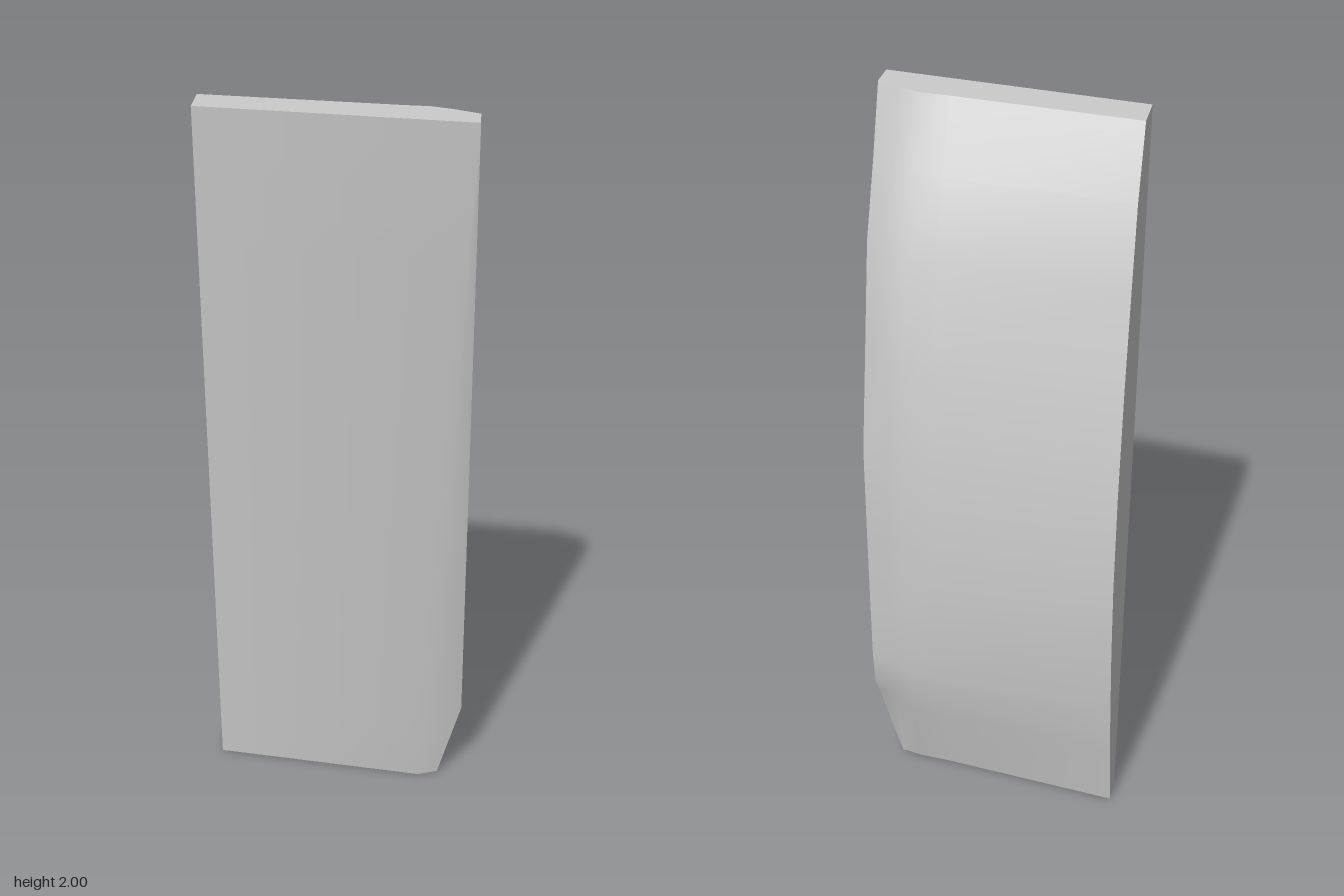
import * as THREE from 'three';
import { toCreasedNormals } from 'three/addons/utils/BufferGeometryUtils.js';

// One row per height: y, then z of the side's rear edge, rear shoulder, rear panel and left rear edge
const levels = [
  [0.00, -0.055, -0.056, -0.073, -0.140],
  [0.22, -0.060, -0.105, -0.135, -0.183],
  [0.28, -0.095, -0.125, -0.150, -0.190],
  [0.38, -0.110, -0.140, -0.165, -0.203],
  [0.58, -0.113, -0.148, -0.183, -0.225],
  [0.80, -0.115, -0.148, -0.187, -0.235],
  [1.07, -0.115, -0.145, -0.180, -0.217],
  [1.36, -0.055, -0.103, -0.138, -0.170],
  [1.63, 0.000, -0.055, -0.080, -0.108],
  [1.82, 0.085, 0.030, 0.000, -0.060],
  [2.00, 0.155, 0.120, 0.090, 0.025],
];

// Horizontal section, counter-clockwise seen from above
function section([y, side, shoulder, panel, left]) {
  const low = Math.max(0, 1 - y / 0.22); // the side tucks in at the foot
  const sideX = 0.35 - 0.065 * low;
  const sideFront = Math.max(0, 0.235 * (y - 0.22) / 1.78);
  return [
    [-0.35, -0.063 + 0.099 * y],
    [0.23 + 0.06 * y, 0.02 + 0.1075 * y],
    [sideX, sideFront],
    [sideX, side],
    [0.285 - 0.015 * low, shoulder],
    [0.23, (shoulder * 0.4 + panel * 0.6) - 0.004 * (1 - low)],
    [0.15, panel],
    [-0.35, left],
  ].map(([x, z]) => new THREE.Vector3(x, y, z));
}

// Skin between successive sections, closed at both ends
function loft(rings) {
  const positions = [];
  const tri = (a, b, c) => {
    if (new THREE.Triangle(a, b, c).getArea() < 1e-6) return;
    for (const p of [a, b, c]) positions.push(p.x, p.y, p.z);
  };
  const n = rings[0].length;
  for (let r = 0; r < rings.length - 1; r++) {
    for (let i = 0; i < n; i++) {
      const j = (i + 1) % n;
      const [a, b, c, d] = [rings[r][i], rings[r][j], rings[r + 1][j], rings[r + 1][i]];
      tri(a, b, c);
      tri(a, c, d);
    }
  }
  const bottom = rings[0], top = rings[rings.length - 1];
  for (let i = 1; i < n - 1; i++) {
    tri(bottom[0], bottom[i + 1], bottom[i]);
    tri(top[0], top[i], top[i + 1]);
  }
  const geometry = new THREE.BufferGeometry();
  geometry.setAttribute('position', new THREE.Float32BufferAttribute(positions, 3));
  return toCreasedNormals(geometry, 0.55);
}

export function createModel() {
  const group = new THREE.Group();
  group.name = 'curvedSlab';
  // Flat leaning front, bulging rear, one rounded rear edge
  const body = new THREE.Mesh(
    loft(levels.map(section)),
    new THREE.MeshStandardMaterial({ color: 0xcccccc })
  );
  body.name = 'slabBody';
  group.add(body);
  return group;
}
